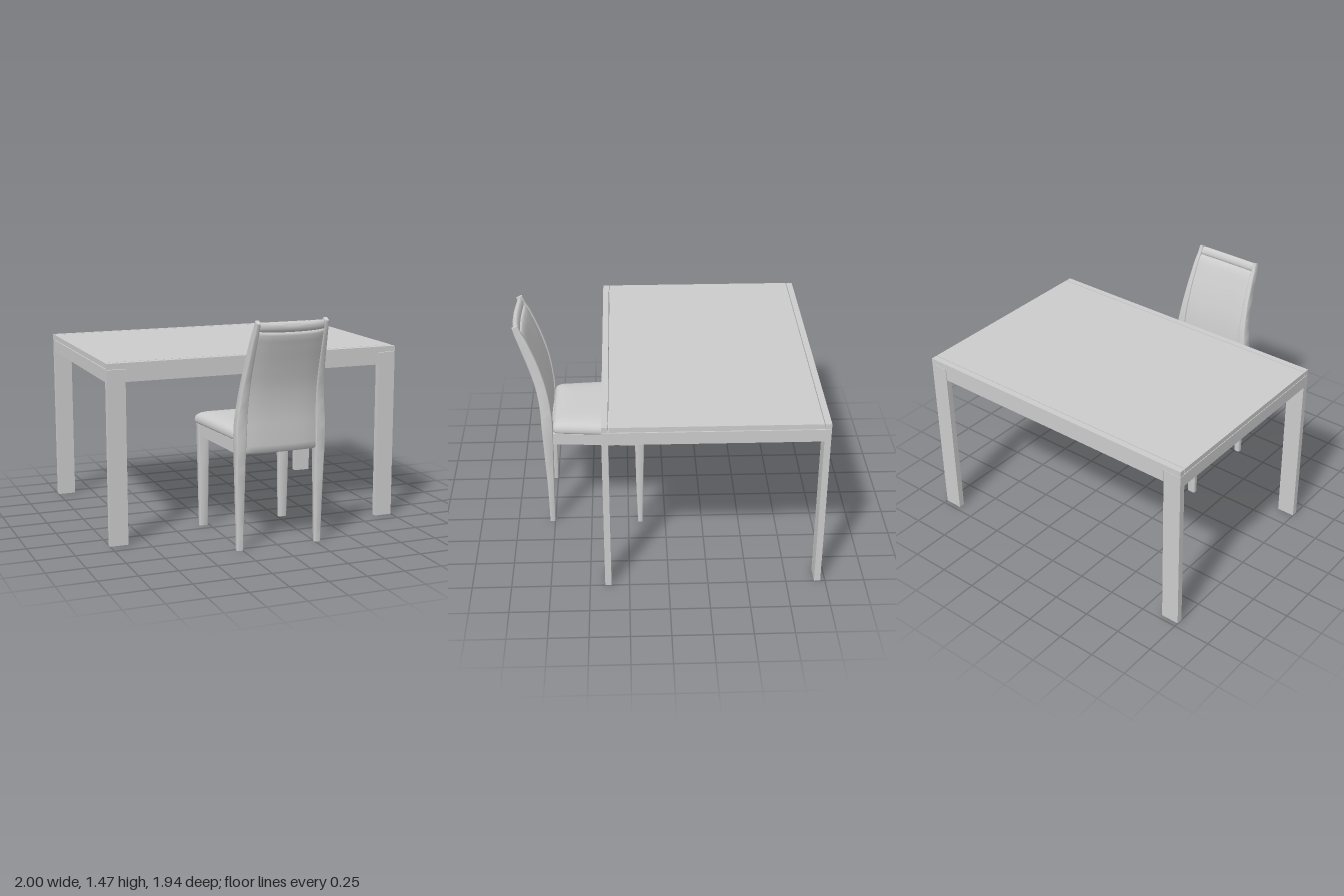
import * as THREE from 'three';
import { toCreasedNormals } from 'three/addons/utils/BufferGeometryUtils.js';

const material = new THREE.MeshStandardMaterial({ color: 0xcccccc });

function add(parent, name, geometry) {
  const mesh = new THREE.Mesh(geometry, material);
  mesh.name = name;
  parent.add(mesh);
  return mesh;
}

// Box given by its limits
function box(parent, name, x0, x1, y0, y1, z0, z1) {
  const mesh = add(parent, name, new THREE.BoxGeometry(x1 - x0, y1 - y0, z1 - z0));
  mesh.position.set((x0 + x1) / 2, (y0 + y1) / 2, (z0 + z1) / 2);
  return mesh;
}

// Skin over rings of points stacked upwards, closed at both ends
function loft(rings, crease = 0.6) {
  const pos = [];
  const tri = (...p) => p.forEach((v) => pos.push(v.x, v.y, v.z));
  const n = rings[0].length;
  const centre = (ring) => ring.reduce((s, p) => s.add(p), new THREE.Vector3()).divideScalar(n);
  const last = rings[rings.length - 1];
  const c0 = centre(rings[0]), c1 = centre(last);
  for (let j = 0; j < n; j++) {
    const k = (j + 1) % n;
    for (let i = 0; i < rings.length - 1; i++) {
      const a = rings[i], b = rings[i + 1];
      tri(a[j], b[j], a[k]);
      tri(a[k], b[j], b[k]);
    }
    tri(c0, rings[0][j], rings[0][k]);
    tri(c1, last[k], last[j]);
  }
  const geometry = new THREE.BufferGeometry();
  geometry.setAttribute('position', new THREE.Float32BufferAttribute(pos, 3));
  return toCreasedNormals(geometry, crease);
}

// Rounded rectangle at height y
function roundRect(x0, x1, z0, z1, y, r, steps = 4) {
  const corners = [[x1 - r, z1 - r], [x0 + r, z1 - r], [x0 + r, z0 + r], [x1 - r, z0 + r]];
  const ring = [];
  corners.forEach(([cx, cz], q) => {
    for (let i = 0; i <= steps; i++) {
      const a = (q + i / steps) * Math.PI / 2;
      ring.push(new THREE.Vector3(cx + r * Math.cos(a), y, cz + r * Math.sin(a)));
    }
  });
  return ring;
}

// Same, for either side of the chair
const sideRect = (s, a, b, ...rest) => (s > 0 ? roundRect(a, b, ...rest) : roundRect(-b, -a, ...rest));

function createTable() {
  const table = new THREE.Group();
  table.name = 'table';
  box(table, 'tableTop', -1, 1, 1.137, 1.17, -0.925, 0.36);

  // Long rails lap over the tops of the legs
  const rail = new THREE.Shape();
  [[-0.876, 1.05], [0.876, 1.05], [0.876, 1.133], [1, 1.133], [1, 1.17], [-1, 1.17], [-1, 1.133], [-0.876, 1.133]]
    .forEach(([x, y], i) => (i ? rail.lineTo(x, y) : rail.moveTo(x, y)));
  for (const z of [-0.97, 0.365]) {
    const geometry = new THREE.ExtrudeGeometry(rail, { depth: 0.04, bevelEnabled: false });
    add(table, 'longRail', geometry).position.z = z;
    for (const x of [-1, 0.88]) box(table, 'tableLeg', x, x + 0.12, 0, 1.13, z, z + 0.04);
  }
  for (const x of [-1, 0.965]) box(table, 'sideRail', x, x + 0.035, 1.05, 1.132, -0.93, 0.365);
  return table;
}

// Rear leg and back post: y, inner x, outer x, front z, back z
const post = [
  [0, 0.245, 0.287, 0.75, 0.785],
  [0.3, 0.24, 0.292, 0.745, 0.79],
  [0.6, 0.237, 0.298, 0.74, 0.803],
  [0.75, 0.233, 0.299, 0.737, 0.81],
  [0.88, 0.229, 0.29, 0.745, 0.815],
  [1.04, 0.224, 0.272, 0.772, 0.838],
  [1.2, 0.219, 0.257, 0.82, 0.883],
  [1.34, 0.214, 0.246, 0.876, 0.93],
  [1.457, 0.21, 0.236, 0.93, 0.968],
];
const heights = post.map((p) => p[0]);

// Post measurements at any height, by smooth interpolation
const curves = [1, 2, 3, 4].map((c) => new THREE.SplineCurve(post.map((p) => new THREE.Vector2(p[0], p[c]))));
function postAt(y) {
  let i = 0;
  while (i < post.length - 2 && y > heights[i + 1]) i++;
  const t = (i + (y - heights[i]) / (heights[i + 1] - heights[i])) / (post.length - 1);
  return curves.map((c) => c.getPoint(t).y);
}

// Bowed slice of the backrest; inset draws the outline in for rounded edges
function backSlice(y, inset, pad, n = 12) {
  const [xin, , zf, zb] = postAt(y);
  const w = xin + 0.002 - inset * 0.5;
  const lean = Math.max(0, (y - 0.9) / 0.56) * 0.5;
  const mid = (zf + zb) / 2;
  const ring = [];
  for (const face of [1, -1]) {
    for (let i = 0; i <= n; i++) {
      const u = face * (1 - (2 * i) / n);
      const bow = 1 - u * u;
      const half = (zb - zf) * 0.36 - inset + pad * (1 - u ** 6);
      const z = mid + 0.012 * bow + face * half;
      ring.push(new THREE.Vector3(u * w, y - (z - mid) * lean, z));
    }
  }
  return ring;
}

function createChair() {
  const chair = new THREE.Group();
  chair.name = 'chair';

  // Padded seat, narrower towards the back
  const seat = [[0.698, 0.012], [0.704, 0.003], [0.715, 0], [0.735, 0.001], [0.752, 0.01], [0.764, 0.025],
    [0.773, 0.05], [0.78, 0.09], [0.784, 0.15], [0.786, 0.22]].map(([y, inset]) => {
    const ring = roundRect(-0.34 + inset, 0.34 - inset, 0.12 + inset, 0.74 - inset * 0.7, y, 0.04, 6);
    ring.forEach((p) => { p.x *= 1 - 0.15 * (p.z - 0.12) / 0.62; });
    return ring;
  });
  add(chair, 'seatCushion', loft(seat, 0.9));

  // Seat frame
  box(chair, 'frontSeatRail', -0.27, 0.27, 0.62, 0.7, 0.14, 0.17);
  box(chair, 'backSeatRail', -0.245, 0.245, 0.62, 0.7, 0.74, 0.78);

  for (const s of [1, -1]) {
    const sideRail = box(chair, 'sideSeatRail', -0.015, 0.015, 0.62, 0.7, 0.17, 0.77);
    sideRail.position.x = s * 0.289;
    sideRail.rotation.y = -s * 0.06;

    // Tapered front leg
    const leg = [[0, 0.258, 0.315, 0.152, 0.185], [0.35, 0.254, 0.32, 0.145, 0.195], [0.7, 0.25, 0.325, 0.138, 0.2]];
    add(chair, 'frontLeg', loft(leg.map(([y, a, b, c, d]) => sideRect(s, a, b, c, d, y, 0.01))));

    // Rear leg running up into the curved back post
    const rings = [];
    for (let i = 0; i <= 30; i++) {
      const y = 1.457 * i / 30;
      const [a, b, c, d] = postAt(y);
      const ring = sideRect(s, a, b, c, d, y, 0.008);
      const lean = Math.max(0, (y - 0.9) / 0.56) * 0.5;
      ring.forEach((p) => { p.y -= (p.z - (c + d) / 2) * lean; });
      rings.push(ring);
    }
    add(chair, 'rearLegAndPost', loft(rings));
  }

  // Padded back panel between the posts
  const panel = [backSlice(0.62, 0.01, 0.006), backSlice(0.63, 0.001, 0.008)];
  for (let i = 1; i <= 20; i++) panel.push(backSlice(0.63 + 0.755 * i / 20, 0, 0.008));
  panel.push(backSlice(1.395, 0.003, 0.007), backSlice(1.4, 0.01, 0.004));
  add(chair, 'backPanel', loft(panel, 0.8));

  // Rounded top rail
  const topRail = [[1.398, 0.012], [1.404, 0.005], [1.415, 0], [1.43, 0], [1.444, 0.003], [1.451, 0.008], [1.454, 0.012]]
    .map(([y, inset]) => backSlice(y, inset, 0.005));
  add(chair, 'topRail', loft(topRail, 0.9));
  return chair;
}

export function createModel() {
  const model = new THREE.Group();
  model.name = 'diningTableWithChair';
  model.add(createTable(), createChair());
  return model;
}
